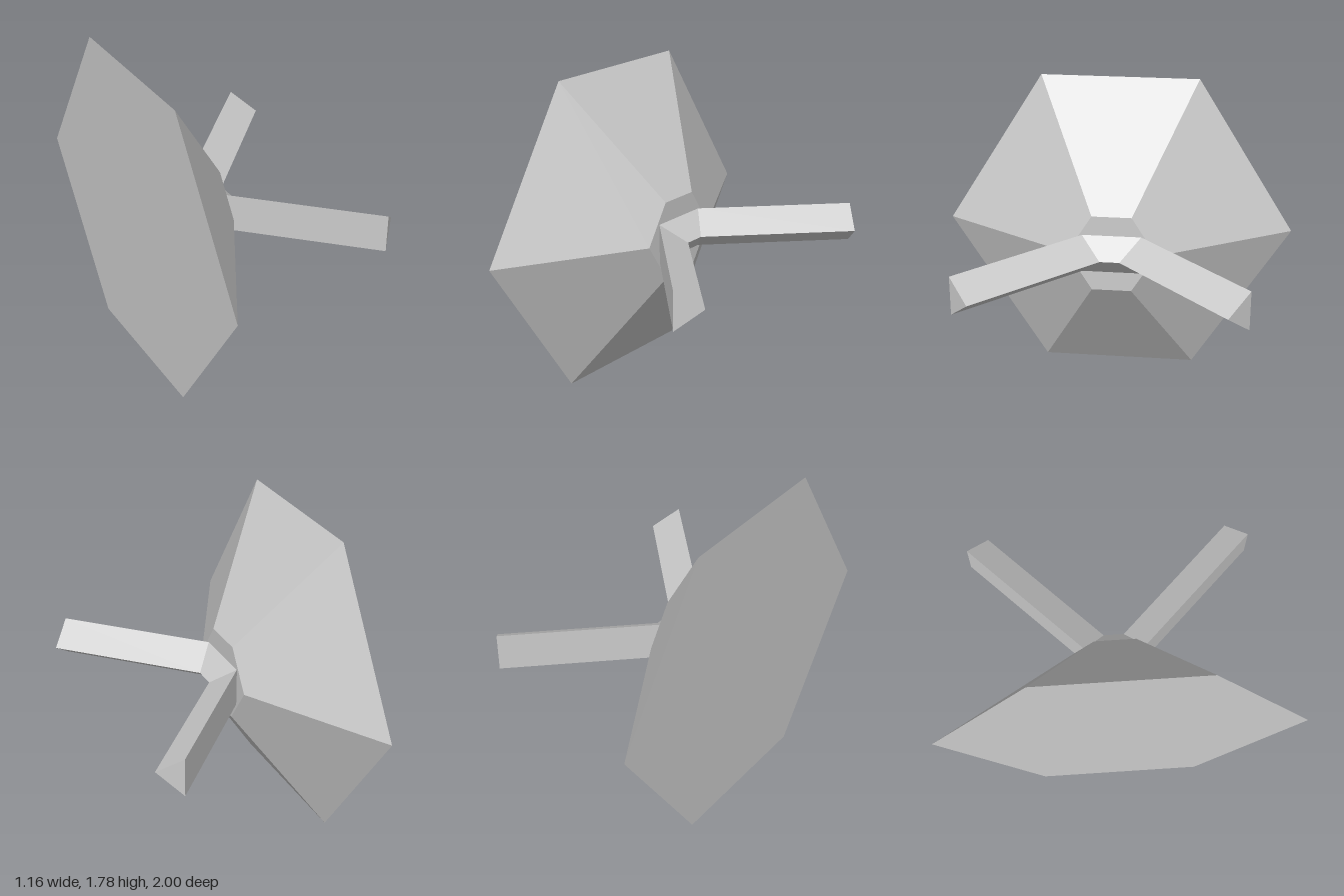
import * as THREE from 'three';

const MID = 0.89; // height of the central axis

// Six-sided tapered dish, axis along x
function dishGeometry() {
  const g = new THREE.CylinderGeometry(0.25, 1, 0.44, 6).toNonIndexed();
  g.rotateZ(-Math.PI / 2);
  const p = g.attributes.position;
  for (let i = 0; i < p.count; i++) {
    // slightly narrow the flat top and bottom edges of the hexagon
    if (Math.abs(p.getY(i)) > 0.01) p.setZ(i, p.getZ(i) * 0.89);
  }
  g.scale(1, MID / Math.sin(Math.PI / 3), 1);
  g.translate(-0.36, MID, 0);
  g.computeVertexNormals();
  return g;
}

// Triangular bar mitred at two bends: arm, hub, arm
function forkGeometry() {
  // each section: flat edge (x, z) and ridge (x, z)
  const half = [[0.47, 0.775, 0.58, 0.665], [-0.14, 0.165, -0.03, 0.055]];
  const rows = [...half, ...half.map(([a, b, c, d]) => [a, -b, c, -d]).reverse()];
  const rings = rows.map(([x, z, rx, rz]) => [
    [x, MID + 0.11, z], [rx, MID, rz], [x, MID - 0.11, z],
  ]);
  const v = [];
  for (let i = 0; i < rings.length - 1; i++) {
    for (let k = 0; k < 3; k++) {
      const n = (k + 1) % 3, [r, s] = [rings[i], rings[i + 1]];
      v.push(...r[k], ...r[n], ...s[n], ...r[k], ...s[n], ...s[k]);
    }
  }
  // end caps
  const [a, b] = [rings[0], rings[rings.length - 1]];
  v.push(...a[0], ...a[2], ...a[1], ...b[0], ...b[1], ...b[2]);
  const g = new THREE.BufferGeometry();
  g.setAttribute('position', new THREE.Float32BufferAttribute(v, 3));
  g.computeVertexNormals();
  return g;
}

export function createModel() {
  const group = new THREE.Group();
  const material = new THREE.MeshStandardMaterial({ color: 0xcccccc, flatShading: true });
  const add = (name, geometry) => {
    const mesh = new THREE.Mesh(geometry, material);
    mesh.name = name;
    group.add(mesh);
  };
  add('hexagonalDish', dishGeometry());
  add('forkedArms', forkGeometry());
  return group;
}
